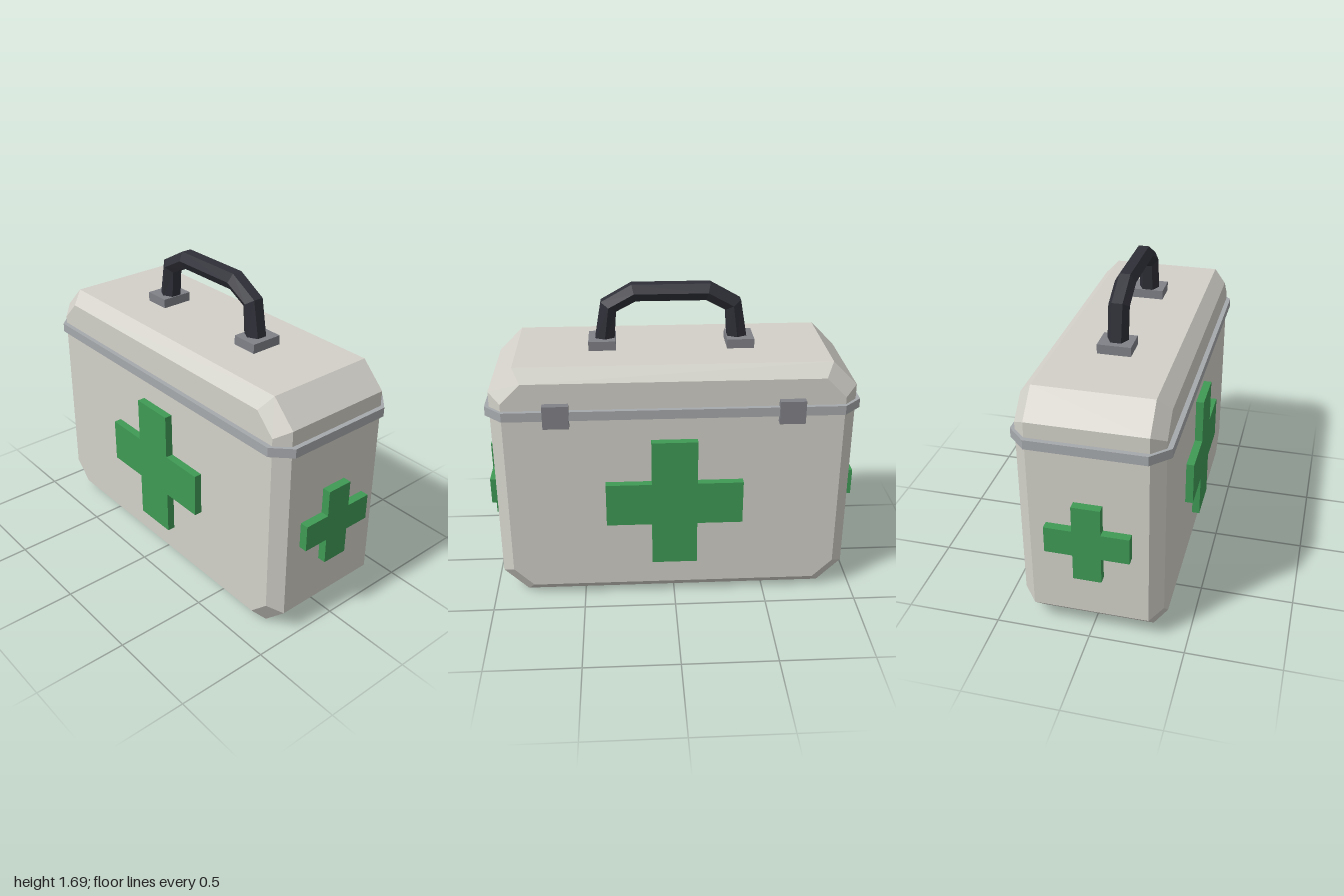
import * as THREE from 'three';
import { ConvexGeometry } from 'three/addons/geometries/ConvexGeometry.js';

const mat = (name, color, extra = {}) => {
  const m = new THREE.MeshStandardMaterial({ color, ...extra });
  m.name = name;
  return m;
};

// Rectangle outline with its four corners cut off at 45 degrees
function cutRect(hw, hh, cut) {
  return [
    [hw - cut, -hh], [hw, cut - hh], [hw, hh - cut], [hw - cut, hh],
    [cut - hw, hh], [-hw, hh - cut], [-hw, cut - hh], [cut - hw, -hh],
  ].map(([x, y]) => new THREE.Vector2(x, y));
}

// Plus-shaped outline
function crossShape(arm, half) {
  const pts = [
    [half, arm], [half, half], [arm, half], [arm, -half], [half, -half], [half, -arm],
    [-half, -arm], [-half, -half], [-arm, -half], [-arm, half], [-half, half], [-half, arm],
  ];
  return new THREE.Shape(pts.reverse().map(([x, y]) => new THREE.Vector2(x, y)));
}

// Six-sided grip, mitred at each bend, from matching outer and inner outlines
function gripGeometry(outer, inner) {
  const rings = outer.map(([ox, oy], i) => {
    const [ix, iy] = inner[i];
    const mx = (ox + ix) / 2, my = (oy + iy) / 2;
    return [
      [ox, oy, 0.028], [mx, my, 0.055], [ix, iy, 0.028],
      [ix, iy, -0.028], [mx, my, -0.055], [ox, oy, -0.028],
    ];
  });
  const pos = [];
  for (let i = 0; i < rings.length - 1; i++) {
    for (let j = 0; j < 6; j++) {
      const k = (j + 1) % 6;
      const a = rings[i][j], b = rings[i][k], c = rings[i + 1][k], d = rings[i + 1][j];
      pos.push(...a, ...b, ...c, ...a, ...c, ...d);
    }
  }
  const g = new THREE.BufferGeometry();
  g.setAttribute('position', new THREE.Float32BufferAttribute(pos, 3));
  g.computeVertexNormals();
  return g;
}

export function createModel() {
  const shell = mat('warm grey shell', 0xd2d0c8);
  const green = mat('green', 0x3f9a55);
  const trim = mat('light metal', 0xa6a9ac);
  const fitting = mat('dark metal', 0x808188);
  const rubber = mat('black rubber', 0x2f3038, { side: THREE.DoubleSide });

  const group = new THREE.Group();
  group.name = 'firstAidCase';
  const add = (name, geometry, material, x = 0, y = 0, z = 0) => {
    const mesh = new THREE.Mesh(geometry, material);
    mesh.name = name;
    mesh.position.set(x, y, z);
    group.add(mesh);
    return mesh;
  };

  // Case body: cut-corner outline with bevelled front and back rims
  const corners = [];
  for (const s of [-1, 1]) {
    for (const p of cutRect(0.955, 0.675, 0.13)) corners.push(new THREE.Vector3(p.x, p.y, s * 0.303));
    for (const p of cutRect(0.89, 0.608, 0.107)) corners.push(new THREE.Vector3(p.x, p.y, s * 0.37));
  }
  add('caseBody', new ConvexGeometry(corners), shell, 0, 0.675, 0);

  // Metal band at the lid seam
  const band = new THREE.ExtrudeGeometry(new THREE.Shape(cutRect(0.98, 0.395, 0.093)),
    { depth: 0.05, bevelEnabled: false });
  band.rotateX(-Math.PI / 2);
  add('lidBand', band, trim, 0, 1.088, 0);

  // Raised crosses on all four sides
  const big = new THREE.ExtrudeGeometry(crossShape(0.367, 0.122), { depth: 0.052, bevelEnabled: false });
  const small = new THREE.ExtrudeGeometry(crossShape(0.217, 0.073), { depth: 0.055, bevelEnabled: false });
  add('frontCross', big, green, 0, 0.59, 0.36);
  add('backCross', big, green, 0, 0.59, -0.36).rotation.y = Math.PI;
  add('leftCross', small, green, 0.945, 0.59, 0).rotation.y = Math.PI / 2;
  add('rightCross', small, green, -0.945, 0.59, 0).rotation.y = -Math.PI / 2;

  // Rear hinges and handle mounts
  for (const s of [-1, 1]) {
    const side = s > 0 ? 'left' : 'right';
    add(side + 'Hinge', new THREE.BoxGeometry(0.135, 0.125, 0.05), fitting, s * 0.61, 1.112, -0.385);
    add(side + 'HandleMount', new THREE.BoxGeometry(0.145, 0.06, 0.175), fitting, s * 0.368, 1.37, 0);
  }

  // Carrying handle
  const mirror = (pts) => [...pts.map(([x, y]) => [-x, y]), ...[...pts].reverse()];
  const outer = mirror([[0.407, 1.385], [0.37, 1.598], [0.207, 1.69]]);
  const inner = mirror([[0.302, 1.385], [0.29, 1.545], [0.185, 1.6]]);
  add('handle', gripGeometry(outer, inner), rubber);

  return group;
}
